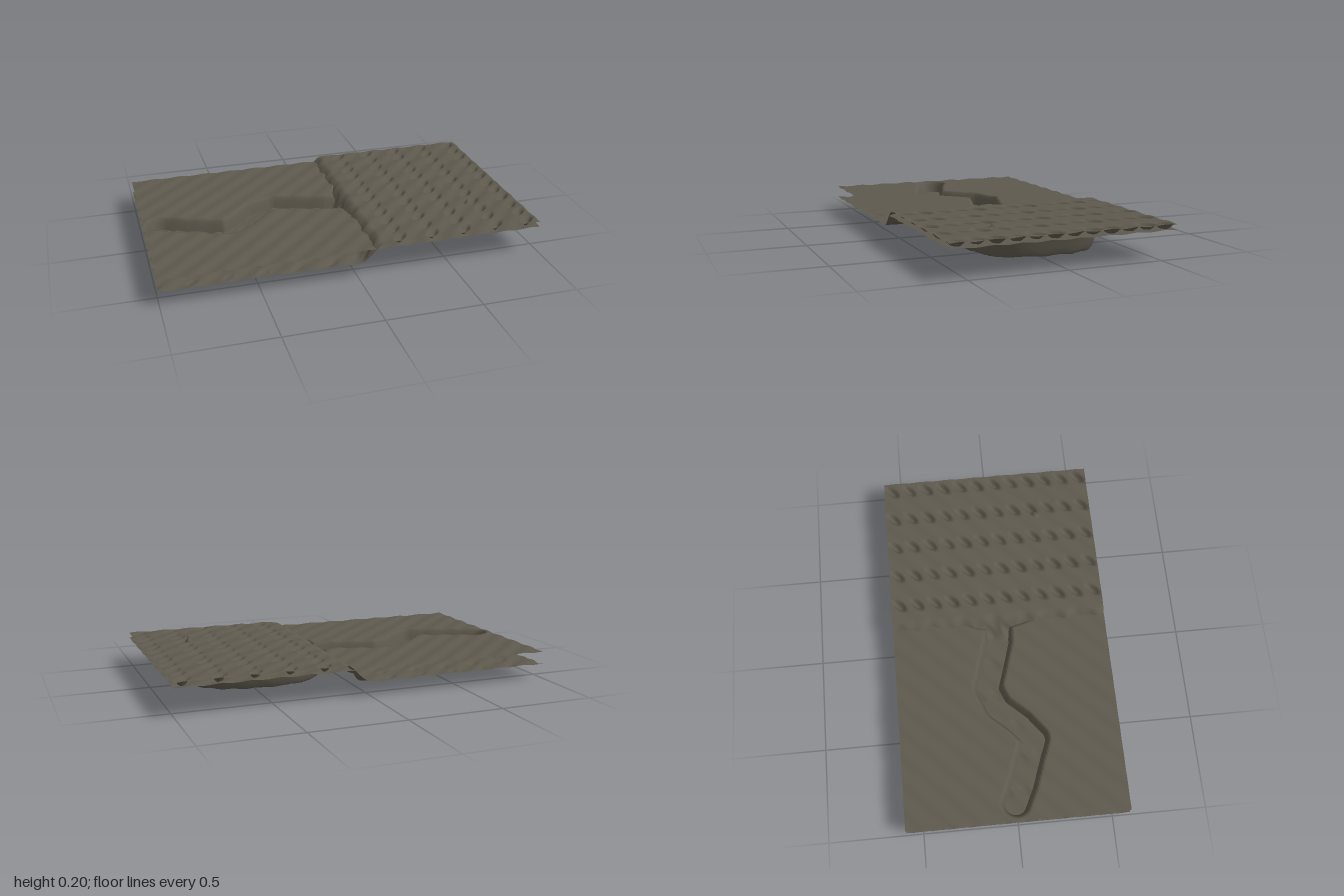
import * as THREE from 'three';

const WIDTH = 2, DEPTH = 1.17;
const { smoothstep, lerp } = THREE.MathUtils;

// Centre line of the winding river, from its source to the lake
const riverPath = [
  [-0.905, -0.005], [-0.8, 0.045], [-0.7, 0.08], [-0.57, 0.13], [-0.48, 0.06],
  [-0.38, -0.05], [-0.27, -0.095], [-0.14, -0.055], [0, -0.012], [0.16, -0.005],
];

function riverDistance(x, z) {
  let best = Infinity;
  for (let i = 0; i < riverPath.length - 1; i++) {
    const [ax, az] = riverPath[i], [bx, bz] = riverPath[i + 1];
    const dx = bx - ax, dz = bz - az;
    const t = THREE.MathUtils.clamp(((x - ax) * dx + (z - az) * dz) / (dx * dx + dz * dz), 0, 1);
    best = Math.min(best, Math.hypot(x - ax - t * dx, z - az - t * dz));
  }
  return best;
}

const ripple = (x, z) => 0.0025 * Math.sin(42 * (x + z));

// Flat ground with a river channel, a steep-sided lake basin and a deeper hollow
function groundHeight(x, z) {
  const channel = 1 - smoothstep(riverDistance(x, z), 0.036, 0.08);
  const wobble = 0.012 * Math.sin(5 * Math.atan2(z, x - 0.465) + 1);
  const r = (Math.abs((x - 0.465) / 0.4) ** 2.5 + Math.abs(z / 0.365) ** 2.5) ** 0.4;
  const basin = 1 - smoothstep(r + wobble, 0.9, 1.01);
  const hollow = 1 - smoothstep(Math.hypot((x - 0.51) / 0.2, (z - 0.005) / 0.16), 0.25, 1);
  return 0.146 - 0.114 * Math.max(channel, basin) - 0.03 * hollow + ripple(x, z);
}

// Rows of short slanting dimples on the raised half of the second sheet
function dimple(x, z) {
  const sx = 0.178, sz = 0.098;
  const dx = x - 0.235 - sx * Math.round((x - 0.235) / sx);
  const dz = z + 0.54 - sz * Math.round((z + 0.54) / sz);
  const along = (dx - dz) * Math.SQRT1_2, across = (dx + dz) * Math.SQRT1_2;
  return 1 - smoothstep(Math.hypot(along / 0.055, across / 0.026), 0.3, 1);
}

// Low on the left, climbing to a choppy plateau on the right
function waterHeight(x, z) {
  const edge = x + 0.007 * Math.sin(38 * z) + 0.004 * Math.sin(71 * z);
  const rise = smoothstep(edge, 0.015, 0.14);
  const pits = dimple(x, z) * lerp(0.006, 0.026, rise);
  const spike = 0.035 * Math.max(0, 1 - Math.hypot(x - 0.73, z - 0.265) / 0.018);
  return lerp(0.08, 0.173, rise) - pits + spike + ripple(x, z);
}

function makeSheet(name, height, material) {
  const geometry = new THREE.PlaneGeometry(WIDTH, DEPTH, 200, 118).rotateX(-Math.PI / 2);
  const p = geometry.attributes.position;
  for (let i = 0; i < p.count; i++) p.setY(i, Math.max(0, height(p.getX(i), p.getZ(i))));
  geometry.computeVertexNormals();
  const mesh = new THREE.Mesh(geometry, material);
  mesh.name = name;
  return mesh;
}

export function createModel() {
  const stone = new THREE.MeshStandardMaterial({ color: 0x5e594d, side: THREE.DoubleSide });
  stone.name = 'stone grey';
  const group = new THREE.Group();
  group.name = 'riverLandscape';
  group.add(makeSheet('groundWithRiverAndLake', groundHeight, stone));
  group.add(makeSheet('waterSurface', waterHeight, stone));
  return group;
}
